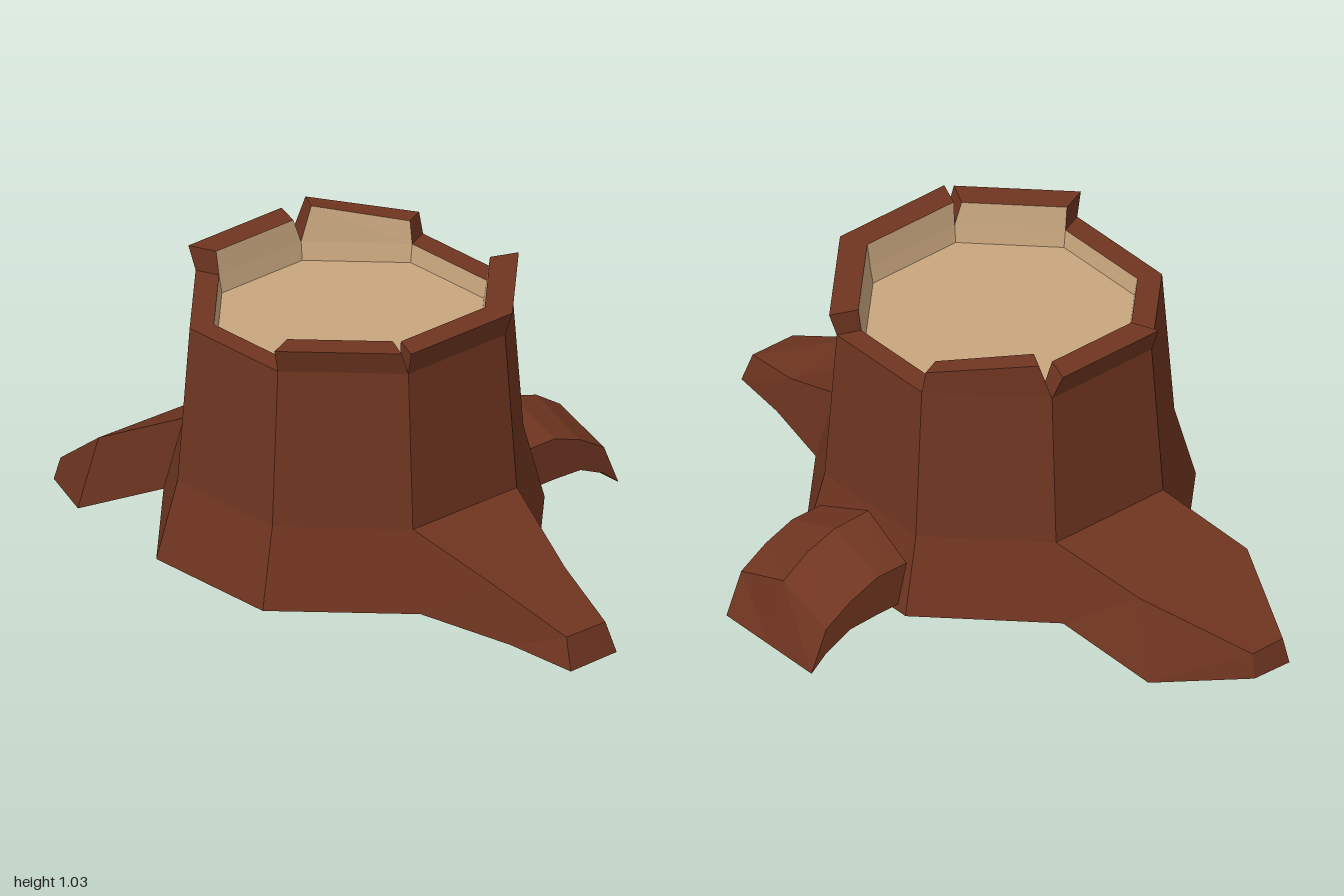
import * as THREE from 'three';

const BARK = new THREE.MeshStandardMaterial({ color: 0x6f3520, flatShading: true });
const WOOD = new THREE.MeshStandardMaterial({ color: 0xc8a67e, flatShading: true });

// Point on the eight-sided trunk: i = 0 is the left side, rising i turns to the front.
const CX = -0.14, CZ = -0.07;
const ring = (i, r, y) => {
  const a = (i % 8) * Math.PI / 4;
  return [CX + r * Math.cos(a), y, CZ + r * Math.sin(a)];
};
const mix = (a, b, t) => a.map((v, k) => v + (b[k] - v) * t);

// Flat-shaded mesh from polygons, each given counter-clockwise from outside.
function facets(name, polys, material) {
  const pos = [];
  for (const p of polys)
    for (let k = 1; k < p.length - 1; k++) pos.push(...p[0], ...p[k], ...p[k + 1]);
  const geo = new THREE.BufferGeometry();
  geo.setAttribute('position', new THREE.Float32BufferAttribute(pos, 3));
  geo.computeVertexNormals();
  const mesh = new THREE.Mesh(geo, material);
  mesh.name = name;
  return mesh;
}

// Skin over sections listed clockwise as seen from the tip, closed at the tip.
function loft(name, sections) {
  const polys = [];
  for (let s = 0; s < sections.length - 1; s++) {
    const a = sections[s], b = sections[s + 1], n = a.length;
    for (let j = 0; j < n; j++) {
      const k = (j + 1) % n;
      polys.push([a[j], b[j], b[k], a[k]]);
    }
  }
  polys.push([...sections[sections.length - 1]].reverse());
  return facets(name, polys, BARK);
}

export function createModel() {
  const model = new THREE.Group();
  const LOW = [0.64, 0.13], MID = [0.57, 0.39], TOP = [0.53, 0.91];
  const FLOOR = 0.85;

  // Trunk wall, flared at the base; two flare panels are replaced by roots.
  const wall = [];
  const band = (i, a, b) =>
    wall.push([ring(i, ...a), ring(i, ...b), ring(i + 1, ...b), ring(i + 1, ...a)]);
  for (let i = 0; i < 8; i++) {
    band(i, MID, TOP);
    if (i !== 1 && i !== 5) band(i, LOW, MID);
  }
  const octagon = [0, 1, 2, 3, 4, 5, 6, 7];
  wall.push(octagon.map(i => ring(i, ...LOW)));
  model.add(facets('trunk', wall, BARK));

  // Cut wood surface, sunk below the rim
  model.add(facets('cutSurface', [octagon.map(i => ring(7 - i, 0.44, FLOOR))], WOOD));

  // Raised bark pieces: [start, end along the side, start height, end height, outer radius]
  const raised = {
    0: [0, 1, 0.99, 0.99, 0.555],
    1: [0, 1, 0.99, 0.99, 0.555],
    2: [0.07, 1, 0.99, 0.99, 0.555],
    5: [0, 0.92, 0.99, 0.99, 0.555],
    6: [0.1, 0.97, 1.03, 0.985, 0.53],
  };
  const rim = [], lining = [];
  for (let i = 0; i < 8; i++) {
    const o0 = ring(i, ...TOP), o1 = ring(i + 1, ...TOP);
    const n0 = ring(i, 0.45, 0.91), n1 = ring(i + 1, 0.45, 0.91);
    const f0 = ring(i, 0.44, FLOOR), f1 = ring(i + 1, 0.44, FLOOR);
    rim.push([o0, n0, n1, o1]);
    lining.push([f1, n1, n0, f0]);
    if (!raised[i]) continue;
    const [t0, t1, y0, y1, r] = raised[i];
    const at = (rad, t, y) => mix(ring(i, rad, y), ring(i + 1, rad, y), t);
    const O0 = at(r, t0, y0), O1 = at(r, t1, y1);
    const N0 = at(0.46, t0, y0), N1 = at(0.46, t1, y1);
    rim.push([o0, O0, O1, o1], [O0, N0, N1, O1], [o0, n0, N0, O0], [o1, O1, N1, n1]);
    lining.push([n1, N1, N0, n0]);
  }
  model.add(facets('barkRim', rim, BARK), facets('rimLining', lining, WOOD));

  // Front root
  model.add(loft('frontRoot', [
    [ring(2, ...LOW), ring(2, ...MID), ring(1, ...MID), ring(1, ...LOW)],
    [[0.07, 0.10, 0.81], [0.04, 0.28, 0.74], [0.31, 0.25, 0.64], [0.34, 0.10, 0.69]],
    [[0.20, 0.075, 1.0], [0.20, 0.175, 0.96], [0.35, 0.175, 0.90], [0.38, 0.075, 0.92]],
  ]));

  // Back root
  model.add(loft('backRoot', [
    [ring(6, ...LOW), ring(6, ...MID), ring(5, ...MID), ring(5, ...LOW)],
    [[-0.35, 0, -0.92], [-0.35, 0.26, -0.83], [-0.75, 0.26, -0.68], [-0.80, 0, -0.73]],
    [[-0.67, 0, -1.0], [-0.67, 0.08, -0.98], [-0.785, 0.08, -0.93], [-0.80, 0, -0.95]],
  ]));

  // Arched side root with a ridged top: [distance out, ridge, edge and underside heights]
  const arch = [
    [0, 0.37, 0.29, 0.15],
    [0.14, 0.365, 0.29, 0.15],
    [0.25, 0.33, 0.25, 0.145],
    [0.35, 0.265, 0.19, 0.10],
    [0.41, 0.052, 0.051, 0.05],
  ];
  model.add(loft('sideRoot', arch.map(([t, ridge, edge, under]) => {
    const p = (side, y) => [0.35 + 0.92 * t + 0.077 * side, y, -0.27 - 0.39 * t + 0.19 * side];
    return [p(1, under), p(1, edge), p(0, ridge), p(-1, edge), p(-1, under)];
  })));

  return model;
}
